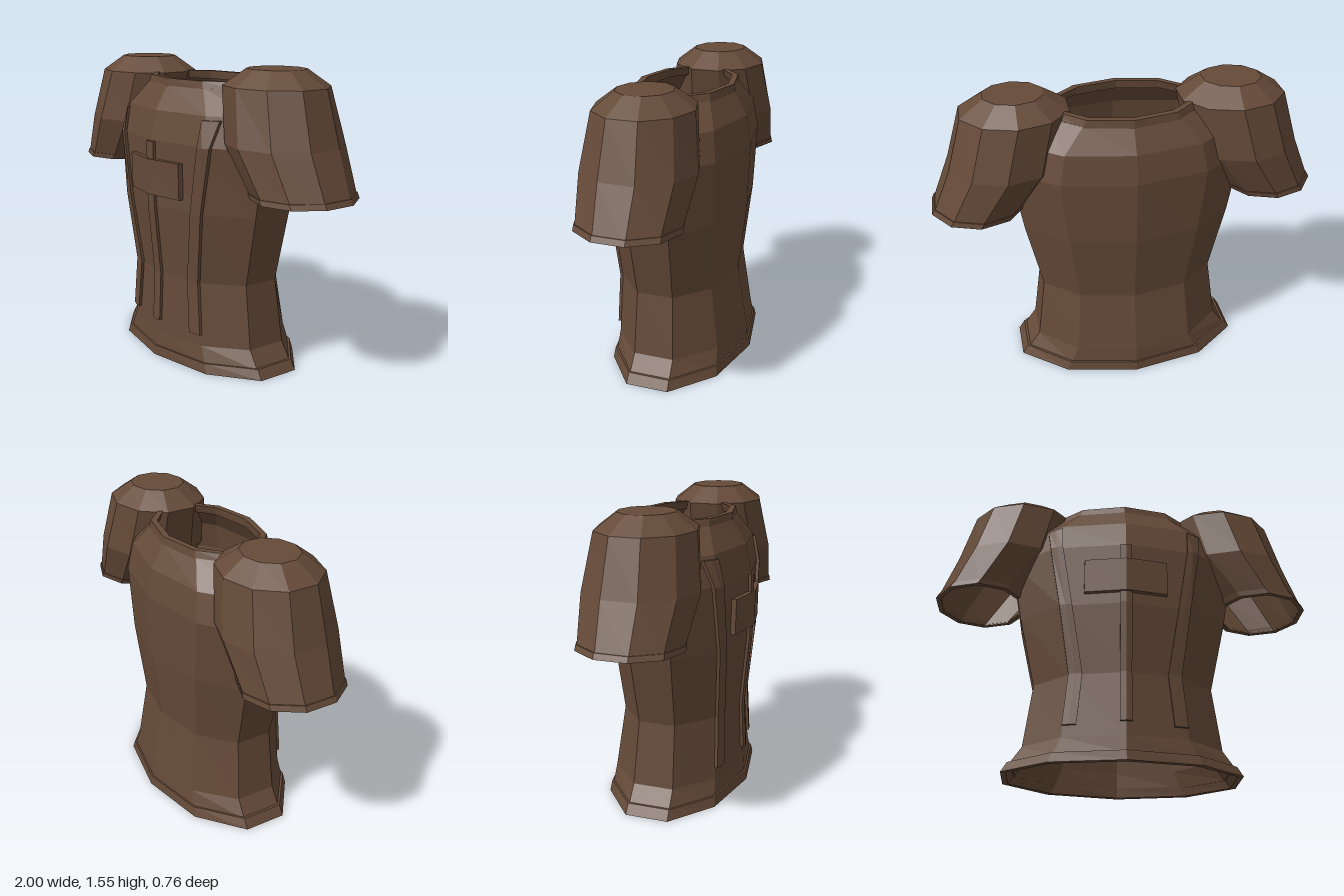
import * as THREE from 'three';

const SIDES = 10;
const material = new THREE.MeshStandardMaterial({
  color: 0x654a38, flatShading: true, side: THREE.DoubleSide,
});

// Skin a list of closed cross-sections; optionally cap both ends or join last to first
function loft(name, loops, { capStart = false, capEnd = false, join = false } = {}) {
  const pos = [];
  const tri = (...pts) => pts.forEach((p) => pos.push(...p));
  const n = loops[0].length;
  const rows = join ? [...loops, loops[0]] : loops;
  for (let i = 0; i < rows.length - 1; i++) {
    for (let j = 0; j < n; j++) {
      const k = (j + 1) % n;
      tri(rows[i][j], rows[i + 1][j], rows[i + 1][k]);
      tri(rows[i][j], rows[i + 1][k], rows[i][k]);
    }
  }
  for (let j = 1; j < n - 1; j++) {
    const a = loops[0], b = loops[loops.length - 1];
    if (capStart) tri(a[0], a[j], a[j + 1]);
    if (capEnd) tri(b[0], b[j + 1], b[j]);
  }
  const geo = new THREE.BufferGeometry();
  geo.setAttribute('position', new THREE.Float32BufferAttribute(pos, 3));
  geo.computeVertexNormals();
  const mesh = new THREE.Mesh(geo, material);
  mesh.name = name;
  return mesh;
}

// Ten-sided oval with its own front and back depth, starting at the front corner
function oval(y, cx, rx, front, back) {
  return Array.from({ length: SIDES }, (_, i) => {
    const a = Math.PI / 2 + (i * 2 * Math.PI) / SIDES;
    const s = Math.sin(a);
    return [cx + rx * Math.cos(a), y, s * (s > 0 ? front : back)];
  });
}

// Torso rings: height, half width, front depth, back depth
const TORSO = [
  [0.04, 0.595, 0.338, 0.362],
  [0.13, 0.53, 0.332, 0.355],
  [0.46, 0.484, 0.318, 0.3],
  [0.83, 0.57, 0.352, 0.34],
  [1.17, 0.63, 0.355, 0.35],
  [1.32, 0.58, 0.325, 0.325],
  [1.44, 0.41, 0.25, 0.258],
];

// Depth of the torso front at x, y
function surfaceZ(x, y) {
  let i = 0;
  while (i < TORSO.length - 2 && y > TORSO[i + 1][0]) i++;
  const [a, b] = [TORSO[i], TORSO[i + 1]];
  const t = (y - a[0]) / (b[0] - a[0]);
  const rx = THREE.MathUtils.lerp(a[1], b[1], t);
  const rz = THREE.MathUtils.lerp(a[2], b[2], t);
  const corner = [90, 54, 18].map((d) => THREE.MathUtils.degToRad(d))
    .map((r) => [rx * Math.cos(r), rz * Math.sin(r)]);
  const k = Math.abs(x) < corner[1][0] ? 0 : 1;
  const [p, q] = [corner[k], corner[k + 1]];
  return p[1] + ((Math.abs(x) - p[0]) / (q[0] - p[0])) * (q[1] - p[1]);
}

// Raised panel that follows the torso front; rows are [y, xMin, xMax]
function panel(name, rows, thickness) {
  const loops = rows.map(([y, x0, x1]) => {
    const xs = [x1, (x0 + x1) / 2, x0];
    return [
      ...xs.map((x) => [x, y, surfaceZ(x, y) + thickness]),
      ...xs.reverse().map((x) => [x, y, surfaceZ(x, y) - 0.015]),
    ];
  });
  return loft(name, loops, { capStart: true, capEnd: true });
}

// Hollow band made from an outer and inner profile of [y, rx, front, back]
function shell(name, outer, wall) {
  const ring = ([y, rx, f, b], d) => oval(y, 0, rx - d, f - d, b - d);
  const loops = [...outer.map((r) => ring(r, 0)), ...[...outer].reverse().map((r) => ring(r, wall))];
  return loft(name, loops, { join: true });
}

// Sleeve rings: height, centre x, half width, half depth
const SLEEVE = [
  [0.965, 0.762, 0.24, 0.258],
  [1.2, 0.62, 0.289, 0.288],
  [1.47, 0.55, 0.28, 0.247],
  [1.55, 0.55, 0.155, 0.14],
];

function sleeve(side) {
  const g = new THREE.Group();
  g.name = side > 0 ? 'leftSleeve' : 'rightSleeve';
  const ring = ([y, cx, rx, rz], d) => {
    const loop = oval(y, side * cx, rx - d, rz - d, rz - d);
    return loop;
  };
  // Inside from the crown down, then outside back up
  const inner = [...SLEEVE].reverse().map((r, i) => ring([r[0] - (i === 0 ? 0.02 : 0), r[1], r[2], r[3]], 0.018));
  g.add(loft('sleeveCap', [...inner, ...SLEEVE.map((r) => ring(r, 0))], { capStart: true, capEnd: true }));
  // Cuff trim
  const low = [0.958, 0.765, 0.248, 0.266], high = [0.985, 0.75, 0.25, 0.266];
  g.add(loft('cuff', [ring(low, 0), ring(high, 0), ring(high, 0.025), ring(low, 0.025)], { join: true }));
  return g;
}

export function createModel() {
  const model = new THREE.Group();
  model.name = 'armouredTunic';

  // Body, hem and collar
  model.add(shell('torso', TORSO, 0.02));
  model.add(shell('hem', [[0, 0.635, 0.352, 0.376], [0.05, 0.602, 0.347, 0.37]], 0.03));
  model.add(shell('collar', [[1.43, 0.412, 0.253, 0.262], [1.475, 0.385, 0.248, 0.257]], 0.033));

  // Front ribs and chest plate
  model.add(panel('centreRib', [[0.2, -0.03, 0.03], [0.46, -0.03, 0.03], [0.83, -0.03, 0.03], [1.165, -0.03, 0.03]], 0.015));
  model.add(panel('chestPlate', [[0.89, -0.215, 0.215], [1.075, -0.215, 0.215]], 0.026));
  const rib = [[0.19, 0.24, 0.31], [0.46, 0.215, 0.285], [0.83, 0.275, 0.34], [1.17, 0.33, 0.395], [1.3, 0.335, 0.41]];
  for (const side of [1, -1]) {
    const rows = rib.map(([y, a, b]) => (side > 0 ? [y, a, b] : [y, -b, -a]));
    model.add(panel(side > 0 ? 'leftRib' : 'rightRib', rows, 0.016));
    model.add(sleeve(side));
  }
  return model;
}
